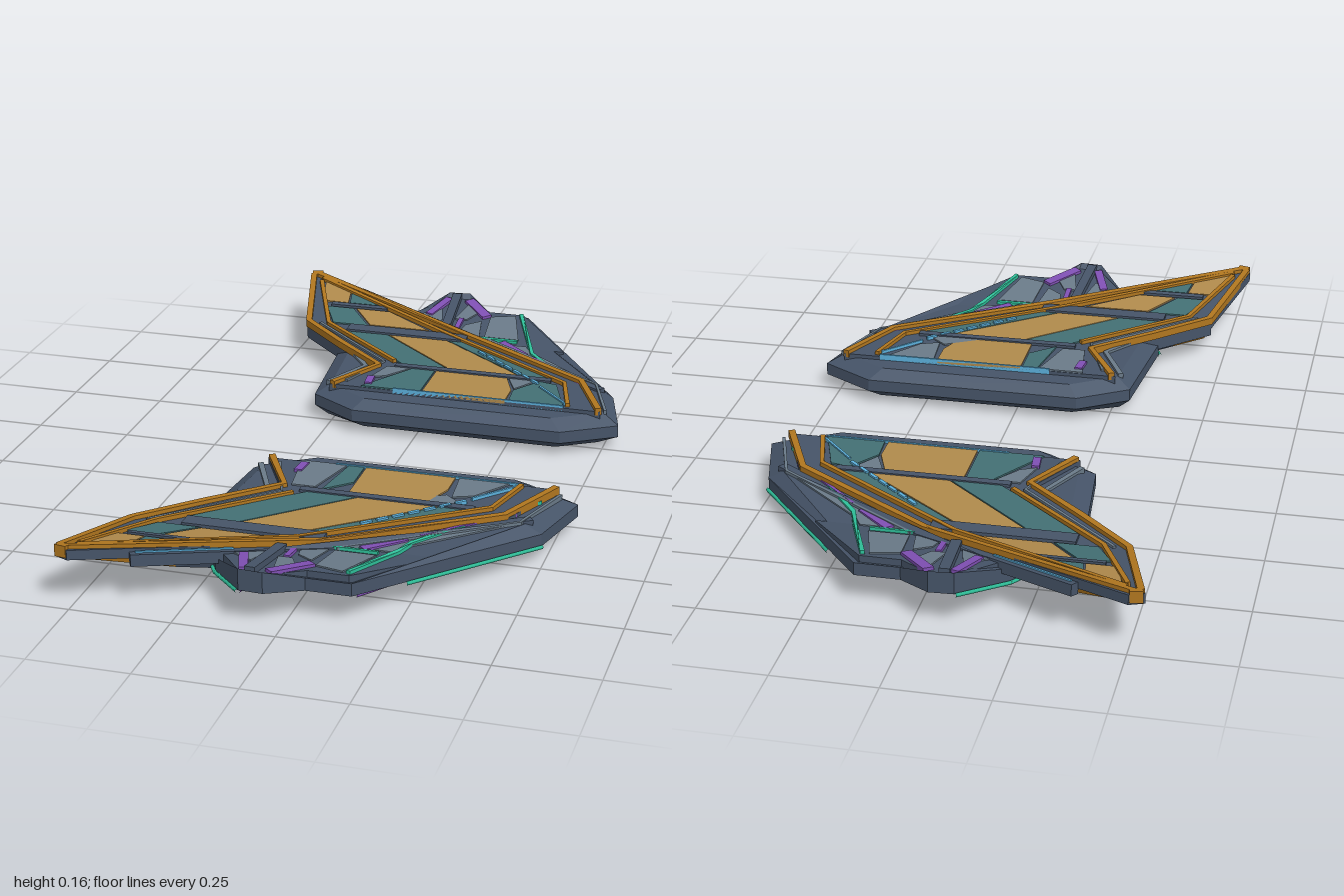
import * as THREE from 'three';

const mat = (name, color) => Object.assign(new THREE.MeshStandardMaterial({ color }), { name });
const M = {
  slate: mat('slate hull', 0x465468),
  gold: mat('pale gold panel', 0xb08a4c),
  rail: mat('amber rail', 0xb0761f),
  teal: mat('teal panel', 0x437074),
  grey: mat('grey panel', 0x6a7a88),
  purple: mat('purple accent', 0x8050b4),
  mint: mat('mint line', 0x2fc09a),
  blue: mat('blue line', 0x5cb0dc),
};

// Heights of the two decks: level inboard, rising towards the tip
const upper = (z) => 0.1 + Math.max(0, z - 0.7) * 0.16;
const lower = (z) => 0.09 + Math.max(0, z - 0.7) * 0.14;

// Faceted solid through rings of [x, y, z], listed from bottom to top
function loft(rings) {
  const flat = (r) => r.map(([x, , z]) => new THREE.Vector2(x, z));
  if (THREE.ShapeUtils.area(flat(rings[0])) < 0) rings = rings.map((r) => [...r].reverse());
  const pos = [];
  const tri = (a, b, c) => pos.push(...a, ...b, ...c);
  for (let k = 0; k + 1 < rings.length; k++) {
    const a = rings[k], b = rings[k + 1];
    a.forEach((p, i) => {
      const j = (i + 1) % a.length;
      tri(p, b[i], a[j]);
      tri(a[j], b[i], b[j]);
    });
  }
  const cap = (r, up) => {
    for (const [i, j, k] of THREE.ShapeUtils.triangulateShape(flat(r), [])) {
      const [a, b, c] = [r[i], r[j], r[k]];
      const cross = (b[0] - a[0]) * (c[2] - a[2]) - (b[2] - a[2]) * (c[0] - a[0]);
      if (cross > 0 === up) tri(a, c, b);
      else tri(a, b, c);
    }
  };
  cap(rings[0], false);
  cap(rings[rings.length - 1], true);
  const g = new THREE.BufferGeometry();
  g.setAttribute('position', new THREE.Float32BufferAttribute(pos, 3));
  g.computeVertexNormals();
  return g;
}

// Outline of a strip of width w along a bent line of [x, z]
function strip(pts, w) {
  const left = [], right = [];
  pts.forEach((p, i) => {
    const a = pts[Math.max(0, i - 1)], b = pts[Math.min(pts.length - 1, i + 1)];
    const dx = b[0] - a[0], dz = b[1] - a[1], l = Math.hypot(dx, dz);
    const ox = (-dz / l) * w / 2, oz = (dx / l) * w / 2;
    left.push([p[0] + ox, p[1] + oz]);
    right.unshift([p[0] - ox, p[1] - oz]);
  });
  return [...left, ...right];
}

function buildWing(side) {
  const wing = new THREE.Group();
  const put = (name, material, geometry) => {
    const m = new THREE.Mesh(geometry, material);
    m.name = name;
    wing.add(m);
  };
  const solid = (name, material, rings) =>
    put(name, material, loft(rings.map((r) => r.map(([x, y, z]) => [x, y, z * side]))));
  // Plate whose top lies "off" above a deck
  const plate = (name, material, deck, pts, off = 0.004, thick = 0.009) =>
    solid(name, material, [off - thick, off].map((o) => pts.map(([x, z]) => [x, deck(z) + o, z])));
  const bar = (name, material, deck, pts, w, off, thick = 0.02) =>
    plate(name, material, deck, strip(pts, w), off, thick);
  const line = (name, material, pts) => {
    for (let i = 0; i + 1 < pts.length; i++) {
      const [a, b] = [pts[i], pts[i + 1]].map(([x, y, z]) => new THREE.Vector3(x, y, z * side));
      put(name, material, new THREE.TubeGeometry(new THREE.LineCurve3(a, b), 1, 0.005, 5));
    }
  };

  // Lower hull: inset belly, upright rim raised at the prow, inset top
  const rim = [[-.17, .175], [.4, .175], [.54, .26], [.49, .45], [.15, .9], [.04, .9],
    [-.04, .965], [-.1, .96], [-.2, .83], [-.33, .58], [-.3, .26]];
  const belly = [[-.15, .22], [.38, .22], [.48, .28], [.43, .44], [.13, .72], [.03, .75],
    [-.04, .76], [-.1, .76], [-.19, .72], [-.29, .56], [-.27, .28]];
  const rise = (z) => Math.max(0, z - 0.7) * 0.19;
  const inset = (k, y) => rim.map(([x, z]) => [0.08 + (x - 0.08) * k, y + (k > 0.95 ? rise(z) : 0), 0.5 + (z - 0.5) * k]);
  solid('lower hull', M.slate, [
    belly.map(([x, z]) => [x, z > 0.5 ? 0.014 : 0.004, z]),
    inset(1, 0.034),
    rim.map(([x, z]) => [x, z > 0.95 ? 0.138 : 0.066 + rise(z), z]),
    inset(0.9, 0.09),
  ]);
  plate('fore deck', M.slate, lower, [[.3, .69], [.14, .885], [.04, .885], [-.04, .95],
    [-.1, .945], [-.2, .81], [-.2, .69]], 0, 0.04);

  // Upper wing body in an inner and a rising tip part
  plate('upper wing', M.slate, upper, [[-.26, .26], [.49, .26], [.41, .45], [.03, .7],
    [-.46, .7], [-.32, .56], [-.17, .43]], 0, 0.045);
  plate('wing tip', M.slate, upper, [[-.46, .7], [.03, .7], [-.5, .995], [-.535, .975]], 0, 0.025);
  const keel = (name, material, low, top) =>
    solid(name, material, [low, top.map(([x, z]) => [x, upper(z) - 0.022, z])]);
  keel('inner keel', M.slate, [[-.3, .03, .6], [-.16, .035, .76], [-.29, .065, .85], [-.36, .033, .65]],
    [[-.33, .57], [-.13, .77], [-.3, .867], [-.37, .61]]);
  keel('tip keel', M.rail, [[-.36, .033, .65], [-.29, .065, .85], [-.5, .12, .975], [-.52, .12, .965], [-.44, .04, .71]],
    [[-.37, .61], [-.3, .867], [-.51, .985], [-.53, .97], [-.46, .7]]);

  // Upper deck panels; the root bay differs between the two wings
  const rootPanels = side > 0 ? [
    ['grey', [[-.17, .262], [-.05, .262], [-.09, .41], [-.15, .41]]],
    ['teal', [[-.045, .262], [-.005, .262], [-.005, .36], [-.07, .42]]],
    ['grey', [[.24, .262], [.37, .262], [.3, .36], [.25, .38]]],
    ['grey', [[.14, .424], [.235, .37], [.29, .42]]],
  ] : [
    ['teal', [[-.17, .262], [-.005, .262], [-.005, .42], [-.07, .42], [-.12, .34]]],
    ['teal', [[.24, .262], [.39, .262], [.34, .41], [.29, .42], [.235, .34]]],
    ['grey', [[-.165, .33], [-.125, .35], [-.075, .42], [-.14, .42]]],
    ['grey', [[.235, .35], [.28, .42], [.205, .42]]],
  ];
  const panels = [
    ['gold', [[0, .26], [.23, .26], [.23, .34], [.2, .42], [0, .42]]],
    ...rootPanels,
    ['gold', [[.03, .445], [.23, .445], [-.03, .655], [-.2, .655]]],
    ['teal', [[-.1, .445], [.025, .445], [-.205, .655], [-.33, .655], [-.14, .48]]],
    ['teal', [[.235, .445], [.32, .445], [.02, .655], [-.025, .655]]],
    ['teal', [[-.385, .71], [-.28, .71], [-.35, .8], [-.43, .8]]],
    ['gold', [[-.275, .715], [-.1, .715], [-.24, .8], [-.34, .8]]],
    ['teal', [[-.37, .83], [-.28, .83], [-.38, .885]]],
    ['gold', [[-.45, .83], [-.375, .83], [-.385, .89], [-.48, .95]]],
  ];
  panels.forEach(([c, pts]) => plate(c + ' deck panel', M[c], upper, pts));
  plate('purple root mark', M.purple, upper, [[-.165, .28], [-.145, .28], [-.15, .33], [-.17, .33]], 0.008);
  bar('cross band', M.slate, upper, [[-.12, .433], [.32, .433]], 0.022, 0.007);
  bar('cross band', M.slate, upper, [[-.33, .682], [.02, .682]], 0.045, 0.008);
  bar('cross band', M.slate, upper, [[-.42, .815], [-.25, .815]], 0.016, 0.007);

  // Amber rails along both edges of the wing
  const rails = [
    [[-.52, .985], [.0, .715], [.03, .7], [.4, .45], [.485, .26]],
    [[-.49, .955], [-.04, .7], [.36, .42], [.4, .27]],
    [[-.525, .975], [-.455, .7], [-.315, .56], [-.165, .42], [-.25, .26]],
    [[-.49, .94], [-.395, .7], [-.13, .46]],
  ];
  rails.forEach((pts, i) => bar('edge rail', M.rail, upper, pts, i % 2 ? 0.012 : 0.017, 0.01));
  bar('tip block', M.rail, upper, [[-.53, .978], [-.5, .985]], 0.022, 0.01, 0.03);

  // Stepped bars and lines beside the edges
  bar('outer bar', M.slate, lower, [[-.37, .935], [-.14, .81], [.04, .715], [.46, .43]], 0.025, 0.006, 0.03);
  bar('leading line', M.grey, lower, [[.06, .72], [.44, .46], [.5, .28]], 0.008, 0.008);
  bar('trailing line', M.grey, lower, [[-.29, .55], [-.205, .43], [-.27, .29]], 0.014, 0.007);
  bar('trailing line', M.grey, upper, [[-.42, .7], [-.16, .455], [-.22, .29]], 0.008, 0.006);
  bar('outer blue line', M.blue, lower, [[-.36, .925], [-.16, .815]], 0.006, 0.01);
  for (let i = 0; i < 7; i++) {
    const t = i / 7, x = 0.08 + 0.22 * t, z = 0.59 - 0.2 * t;
    bar('blue dash', M.blue, upper, [[x, z], [x + 0.022, z - 0.02]], 0.009, 0.009);
  }
  bar('root line', M.blue, upper, [[-.08, .263], [.39, .263]], 0.006, 0.006);
  bar('corner blue line', M.blue, upper, [[.3, .38], [.39, .28]], 0.006, 0.008);

  // Fore deck panels and accents
  const fore = [
    ['grey', [[.06, .73], [.16, .73], [.12, .87], [.05, .85]]],
    ['grey', [[-.02, .74], [.045, .73], [.03, .82], [-.01, .79]]],
    ['grey', [[-.17, .82], [-.07, .75], [-.1, .87]]],
    ['grey', [[-.05, .82], [-.015, .82], [.015, .88], [-.03, .92]]],
    ['grey', [[.1, .695], [.2, .6], [.26, .57], [.19, .695]]],
    ['grey', [[.21, .66], [.235, .585], [.43, .46], [.45, .45]]],
  ];
  fore.forEach(([c, pts]) => plate(c + ' fore panel', M[c], lower, pts));
  bar('purple fore strip', M.purple, lower, [[.115, .7], [.2, .62]], 0.03, 0.008);
  bar('purple fore strip', M.purple, lower, [[.23, .6], [.42, .42]], 0.008, 0.01);
  bar('purple prow strip', M.purple, lower, [[-.035, .935], [.04, .845]], 0.028, 0.008);
  bar('purple prow strip', M.purple, lower, [[-.095, .935], [-.13, .83]], 0.022, 0.008);
  bar('purple prow strip', M.purple, lower, [[-.03, .82], [-.03, .75]], 0.014, 0.008);
  bar('prow spine', M.slate, lower, [[-.075, .95], [-.06, .76]], 0.026, 0.016, 0.04);
  bar('mint cross line', M.mint, lower, [[0, .715], [.16, .715]], 0.009, 0.009);
  bar('mint edge line', M.mint, lower, [[.135, .875], [.2, .7], [.22, .64], [.46, .33]], 0.011, 0.009);

  // Thin lines along the lower edges
  line('mint keel line', M.mint, [[-.334, .032, .582], [-.203, .057, .833], [-.102, .082, .962]]);
  line('mint rim line', M.mint, [[.245, .06, .78], [.493, .034, .452]]);
  line('mint belly line', M.mint, [[.26, .008, .6], [.43, .003, .44], [.48, .003, .28]]);
  line('purple belly line', M.purple, [[-.1, .08, .96], [-.13, .012, .748], [-.19, .012, .72], [-.29, .012, .56]]);
  line('purple belly line', M.purple, [[.146, .052, .855], [.25, .011, .61]]);
  return wing;
}

export function createModel() {
  const model = new THREE.Group();
  model.name = 'wingPair';
  for (const side of [1, -1]) {
    const wing = buildWing(side);
    wing.name = side > 0 ? 'frontWing' : 'backWing';
    model.add(wing);
  }
  return model;
}
